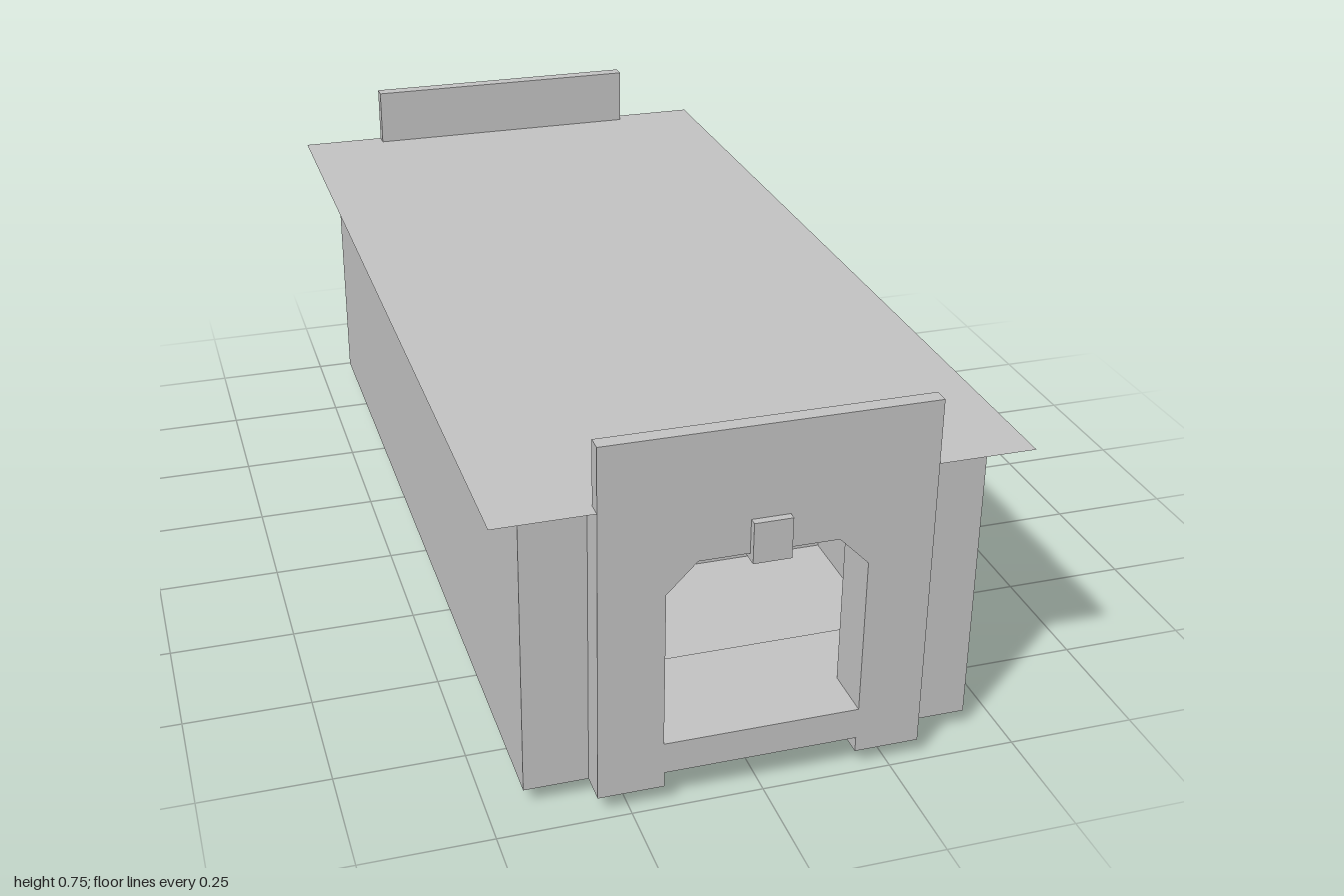
import * as THREE from 'three';

export function createModel() {
  const model = new THREE.Group();
  const grey = new THREE.MeshStandardMaterial({ color: 0xc0c0c0, side: THREE.DoubleSide });
  grey.name = 'plain grey';
  const teal = new THREE.MeshStandardMaterial({ color: 0x2a464e });
  teal.name = 'dark teal';

  const add = (name, geometry, material = grey) => {
    const mesh = new THREE.Mesh(geometry, material);
    mesh.name = name;
    model.add(mesh);
    return mesh;
  };
  const box = (name, x0, x1, y0, y1, z0, z1, material) =>
    add(name, new THREE.BoxGeometry(x1 - x0, y1 - y0, z1 - z0), material)
      .position.set((x0 + x1) / 2, (y0 + y1) / 2, (z0 + z1) / 2);
  const shapeOf = (points) => new THREE.Shape(points.map(([x, y]) => new THREE.Vector2(x, y)));

  // Upright slab with a chamfered doorway and a notch under the sill
  const frame = (name, halfWidth, top, z0, z1) => {
    const shape = shapeOf([
      [-halfWidth, 0.035], [-0.185, 0.035], [-0.185, 0.065], [0.185, 0.065],
      [0.185, 0.035], [halfWidth, 0.035], [halfWidth, top], [-halfWidth, top],
    ]);
    shape.holes.push(shapeOf([
      [-0.187, 0.128], [-0.187, 0.44], [-0.13, 0.498], [0.13, 0.498], [0.187, 0.44], [0.187, 0.128],
    ]));
    add(name, new THREE.ExtrudeGeometry(shape, { depth: z1 - z0, bevelEnabled: false }))
      .position.z = z0;
  };

  // Both ends: wall, doorway surround, raised parapet and key block
  for (const s of [-1, 1]) {
    const slab = (name, w, top, a, b) =>
      frame(name, w, top, Math.min(s * a, s * b), Math.max(s * a, s * b));
    slab('endWall', 0.432, 0.619, 0.88, 0.925);
    slab('portalBack', 0.31, 0.619, 0.925, 0.955);
    slab('portalFront', 0.31, 0.745, 0.955, 0.985);
    const key = [s * 0.955, s * 1.0].sort((a, b) => a - b);
    box('keyBlock', -0.036, 0.036, 0.485, 0.565, key[0], key[1]);

    // Long side walls
    const side = [s * 0.385, s * 0.432].sort((a, b) => a - b);
    box('sideWall', side[0], side[1], 0.035, 0.619, -0.88, 0.88);
  }

  // Thin overhanging roof sheet
  const roof = add('roof', new THREE.PlaneGeometry(0.99, 1.97));
  roof.rotation.x = -Math.PI / 2;
  roof.position.y = 0.62;

  // Sunken floor pan with landings at both ends, extruded across the width
  const half = [[0.88, 0.128], [0.73, 0.128], [0.72, 0.095], [0.69, 0.095], [0.68, 0.05]];
  const under = [[0.56, 0], [0.755, 0.067], [0.88, 0.067]];
  const mirror = (list) => list.map(([z, y]) => [-z, y]).reverse();
  const pan = new THREE.ExtrudeGeometry(
    shapeOf([...mirror(under), ...under, ...half, ...mirror(half)]),
    { depth: 0.74, bevelEnabled: false },
  );
  pan.translate(0, 0, -0.37).rotateY(-Math.PI / 2);
  add('floorPan', pan);

  // Narrow ledges closing the gap between pan and side walls
  for (const x of [-0.3775, 0.3775]) {
    box('floorLedge', x - 0.0075, x + 0.0075, 0.036, 0.05, -0.88, 0.88);
  }

  // Floor inlay
  box('floorInlay', -0.37, 0.04, 0.049, 0.054, -0.36, 0.36, teal);

  // Stepped platform along the left wall, with a sloped back
  box('lowerStep', 0.045, 0.385, 0.05, 0.158, -0.45, 0.3);
  box('upperStep', 0.115, 0.385, 0.158, 0.225, -0.45, 0.2);
  const back = new THREE.ExtrudeGeometry(
    shapeOf([[0.145, 0.225], [0.385, 0.225], [0.385, 0.255], [0.17, 0.255]]),
    { depth: 0.5, bevelEnabled: false },
  );
  add('slopedBack', back).position.z = -0.4;

  // Inner partition beside the rear doorway
  box('partition', -0.385, -0.155, 0.128, 0.6, -0.88, -0.84);

  return model;
}
